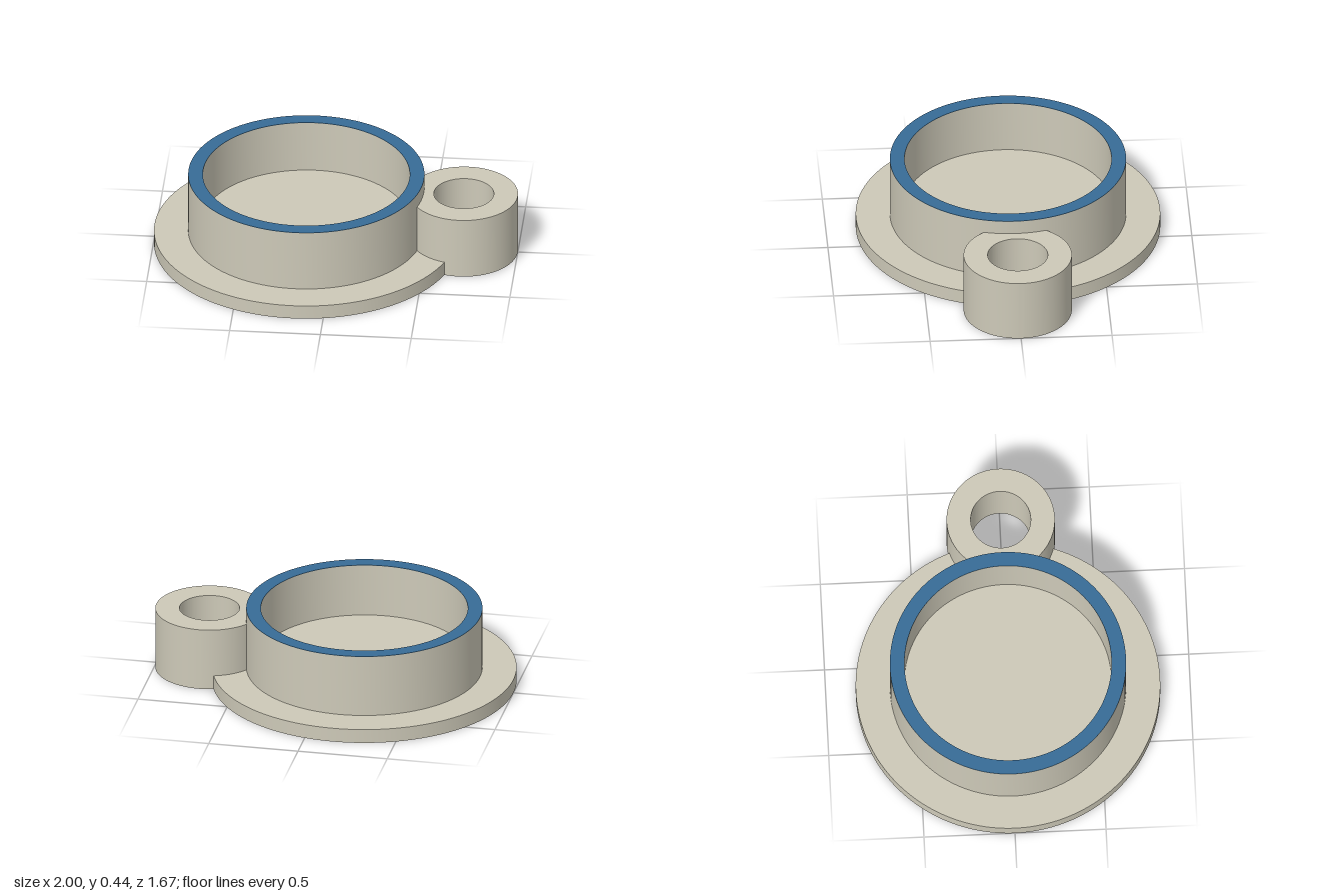
import * as THREE from 'three';
import { toCreasedNormals } from 'three/addons/utils/BufferGeometryUtils.js';

const BODY_X = -0.1645, BOSS_X = 0.703;   // centres along x
const BASE_R = 0.8355, BASE_H = 0.08;
const WALL_R = 0.648, BORE_R = 0.568, WALL_H = 0.435, FLOOR_H = 0.135;
const BOSS_R = 0.297, HOLE_R = 0.165, BOSS_H = 0.355;

function circle(radius, PathType = THREE.Shape) {
  const path = new PathType();
  path.absarc(0, 0, radius, 0, Math.PI * 2, false);
  return path;
}

function ringShape(outer, inner) {
  const shape = circle(outer);
  shape.holes.push(circle(inner, THREE.Path));
  return shape;
}

// Extrudes a plan outline upwards from y0 to y1
function extrudeUp(shape, y0, y1) {
  const geometry = new THREE.ExtrudeGeometry(shape, { depth: y1 - y0, bevelEnabled: false, curveSegments: 96 });
  geometry.rotateX(-Math.PI / 2).translate(0, y0, 0);
  return toCreasedNormals(geometry, Math.PI / 6);
}

// Disc outline with a round bite, buried in the boss, that leaves its hole open
function baseShape() {
  const bite = (BOSS_R + HOLE_R) / 2;
  const d = BOSS_X - BODY_X;
  const x = (BASE_R ** 2 - bite ** 2 + d ** 2) / (2 * d);
  const y = Math.sqrt(BASE_R ** 2 - x ** 2);
  const a = Math.atan2(y, x), b = Math.atan2(y, x - d);
  const shape = new THREE.Shape();
  shape.absarc(0, 0, BASE_R, a, Math.PI * 2 - a, false);
  shape.absarc(d, 0, bite, Math.PI * 2 - b, b, true);
  return shape;
}

export function createModel() {
  const group = new THREE.Group();
  const beige = new THREE.MeshStandardMaterial({ name: 'beige', color: 0xcdc9b8 });
  const blue = new THREE.MeshStandardMaterial({ name: 'blue', color: 0x376c97 });

  function add(name, geometry, material, x) {
    const mesh = new THREE.Mesh(geometry, material);
    mesh.name = name;
    mesh.position.x = x;
    group.add(mesh);
  }

  // Flange and cup
  add('baseFlange', extrudeUp(baseShape(), 0, BASE_H), beige, BODY_X);
  add('cupFloor', extrudeUp(circle(BORE_R + 0.01), BASE_H - 0.02, FLOOR_H), beige, BODY_X);
  add('cupWall', extrudeUp(ringShape(WALL_R, BORE_R), BASE_H - 0.02, WALL_H - 0.002), beige, BODY_X);

  // Painted rim on top of the wall
  add('rimFace', extrudeUp(ringShape(WALL_R, BORE_R), WALL_H - 0.002, WALL_H), blue, BODY_X);

  // Side boss with a through hole
  add('sideBoss', extrudeUp(ringShape(BOSS_R, HOLE_R), 0, BOSS_H), beige, BOSS_X);

  return group;
}
